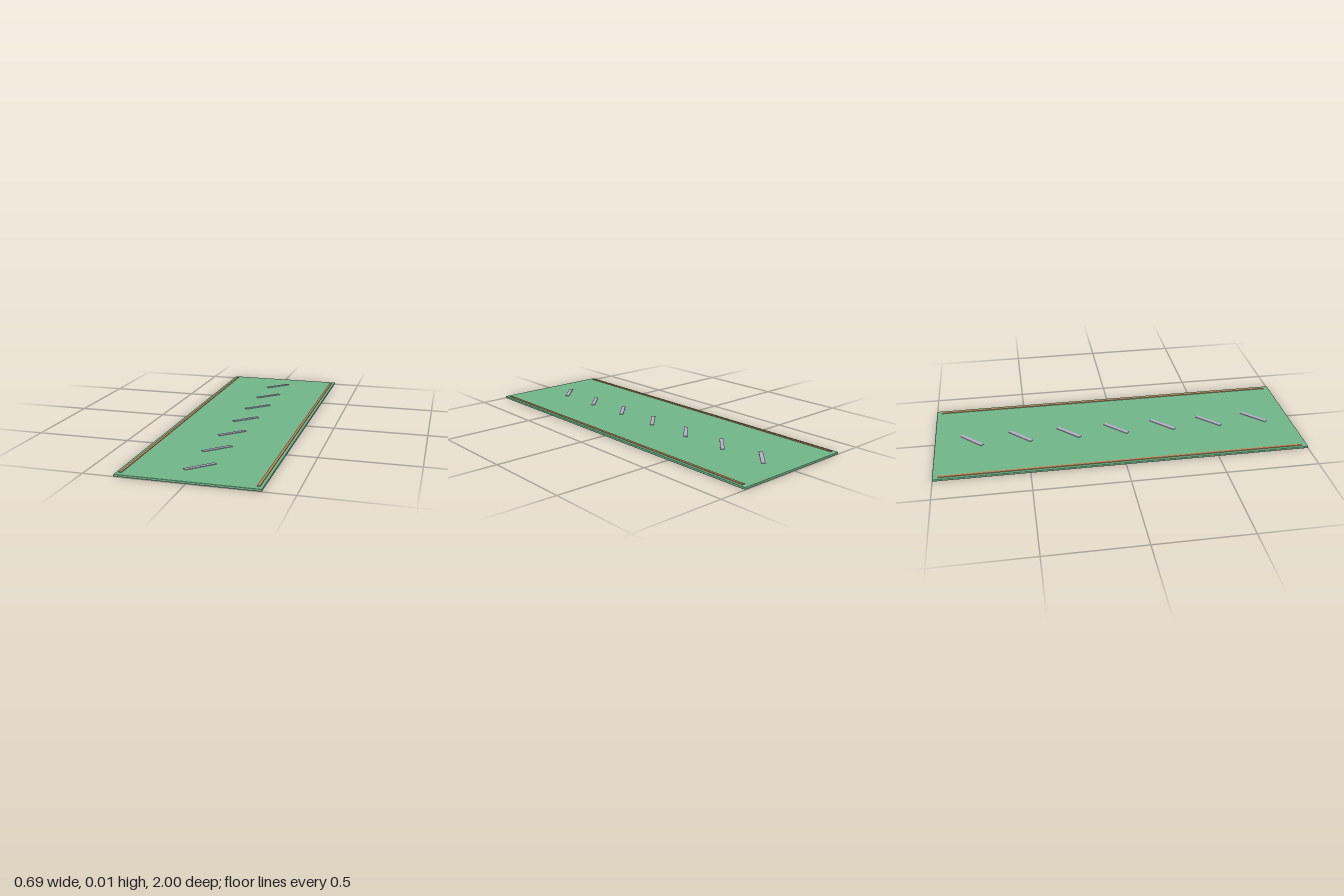
import * as THREE from 'three';
import { RoundedBoxGeometry } from 'three/addons/geometries/RoundedBoxGeometry.js';

const WIDTH = 0.694, LENGTH = 2, THICK = 0.0115, TRIM_TOP = 0.0147;

export function createModel() {
  const group = new THREE.Group();
  const green = new THREE.MeshStandardMaterial({ color: 0x70b488 });
  const orange = new THREE.MeshStandardMaterial({ color: 0xb5835a });
  const lilac = new THREE.MeshStandardMaterial({ color: 0xb5a9c4 });

  // Strips sit on the slab, sunk slightly into it
  const base = THICK - 0.002;
  const stripHeight = TRIM_TOP - base;
  const add = (name, geometry, material, x, y, z) => {
    const mesh = new THREE.Mesh(geometry, material);
    mesh.name = name;
    mesh.position.set(x, y, z);
    group.add(mesh);
    return mesh;
  };

  // Thin slab with softened edges
  add('slab', new RoundedBoxGeometry(WIDTH, THICK, LENGTH, 2, 0.0025), green, 0, THICK / 2, 0);

  // Long edge lines
  const line = new THREE.BoxGeometry(0.014, stripHeight, 1.944);
  for (const side of [-1, 1]) {
    add(side > 0 ? 'leftEdgeLine' : 'rightEdgeLine', line, orange, side * 0.325, base + stripHeight / 2, 0);
  }

  // Row of diagonal dashes down the middle
  const dash = new THREE.BoxGeometry(0.162, stripHeight, 0.021);
  for (let i = -3; i <= 3; i++) {
    add(`diagonalDash${i + 4}`, dash, lilac, 0, base + stripHeight / 2, i * 0.267).rotation.y = Math.PI / 4;
  }
  return group;
}
